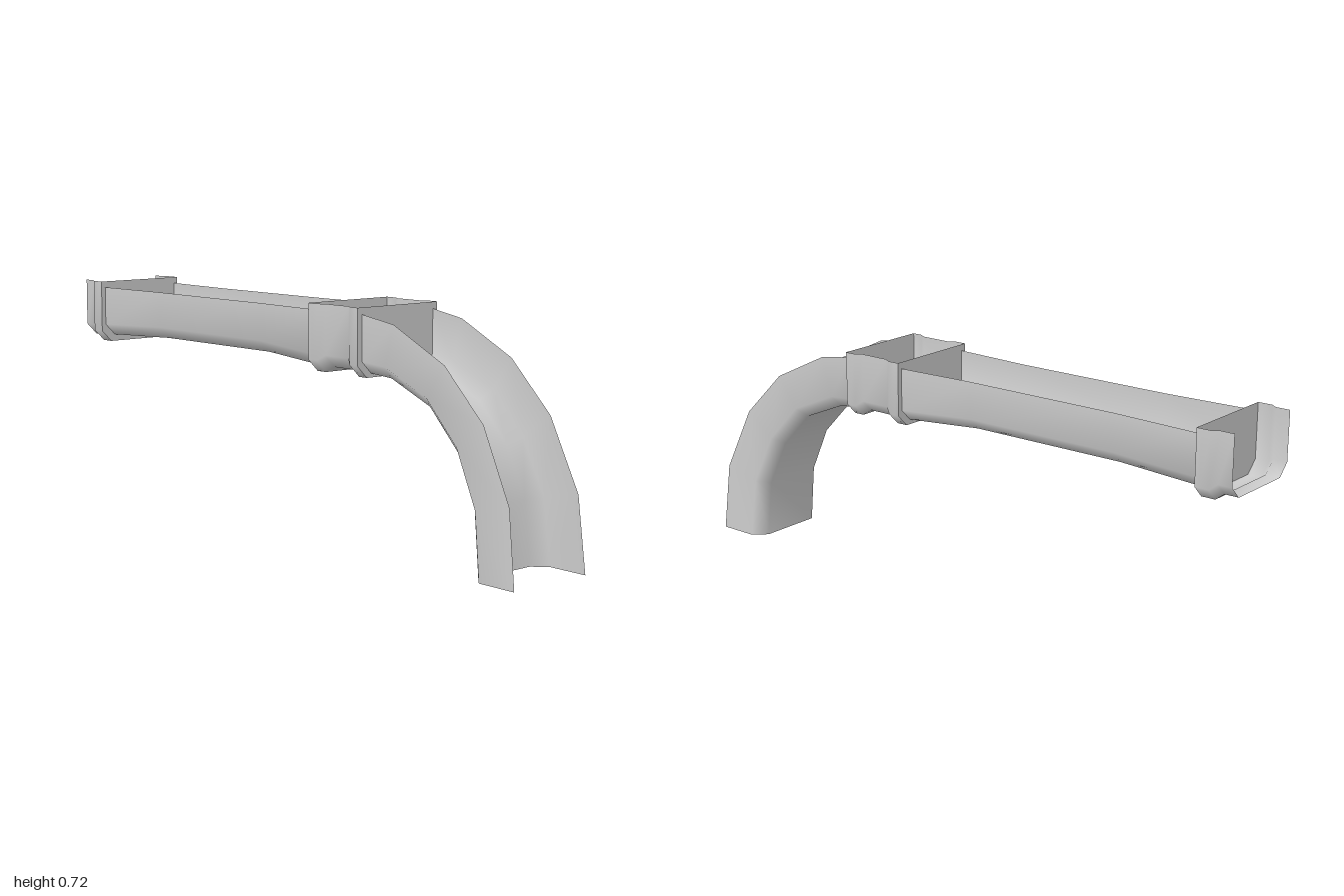
import * as THREE from 'three';

const material = new THREE.MeshStandardMaterial({ color: 0xcccccc, side: THREE.DoubleSide });

// One open U section: [floorX, floorY, rimX, rimY, halfWidth, chamfer]
function section([fx, fy, rx, ry, w, c]) {
  const t = c / Math.hypot(rx - fx, ry - fy);
  const kx = fx + (rx - fx) * t, ky = fy + (ry - fy) * t;
  return [
    [rx, ry, w], [kx, ky, w], [fx, fy, w - c],
    [fx, fy, c - w], [kx, ky, -w], [rx, ry, -w],
  ];
}

// Skin a row of U sections into one smooth trough
function trough(name, stations) {
  const rows = stations.map(section);
  const n = rows[0].length, index = [];
  for (let i = 0; i < rows.length - 1; i++) {
    for (let j = 0; j < n - 1; j++) {
      const a = i * n + j, b = a + n;
      index.push(a, a + 1, b, b, a + 1, b + 1);
    }
  }
  const geo = new THREE.BufferGeometry();
  geo.setAttribute('position', new THREE.Float32BufferAttribute(rows.flat(2), 3));
  geo.setIndex(index);
  geo.computeVertexNormals();
  const mesh = new THREE.Mesh(geo, material);
  mesh.name = name;
  return mesh;
}

// Flat plate filling a U section at x
function plate(name, x, floor, rim, w, c) {
  const outline = section([x, floor, x, rim, w, c]).map(([, y, z]) => new THREE.Vector2(-z, y));
  const geo = new THREE.ShapeGeometry(new THREE.Shape(outline));
  geo.rotateY(Math.PI / 2);
  geo.translate(x, 0, 0);
  const mesh = new THREE.Mesh(geo, material);
  mesh.name = name;
  return mesh;
}

const RIM = 0.72, RING = [0.515, 0.16, 0.037], BODY = [0.531, 0.146, 0.037];
const collarStation = (x, [floor, w, c]) => [x, floor, x, RIM, w, c];

export function createModel() {
  const model = new THREE.Group();
  model.name = 'waterTrough';

  // Straight channel, slightly pinched along the middle
  const straight = [
    [-0.89, 0.537, 0.145], [-0.6, 0.547, 0.13], [-0.08, 0.547, 0.13], [0.18, 0.53, 0.144],
  ].map(([x, floor, w]) => [x, floor, x, 0.7, w, 0.037]);
  model.add(trough('straightChannel', straight));

  // Downward bend, open on its outer side
  model.add(trough('bendChannel', [
    [0.395, 0.527, 0.395, 0.7, 0.143, 0.037],
    [0.475, 0.52, 0.52, 0.68, 0.138, 0.037],
    [0.63, 0.455, 0.72, 0.583, 0.135, 0.036],
    [0.74, 0.34, 0.87, 0.435, 0.135, 0.036],
    [0.81, 0.19, 0.973, 0.225, 0.14, 0.038],
    [0.83, 0, 1, 0, 0.145, 0.04],
  ]));

  // Collars with raised rings
  model.add(trough('endCollar', [
    [-1, BODY], [-0.955, BODY], [-0.935, RING], [-0.905, RING], [-0.89, RING],
  ].map((s) => collarStation(...s))));
  model.add(trough('middleCollar', [
    [0.18, RING], [0.195, RING], [0.218, RING], [0.24, BODY],
    [0.34, BODY], [0.362, RING], [0.385, RING], [0.395, RING],
  ].map((s) => collarStation(...s))));

  // Plates closing the ringed ends of the collars
  [['endPlate', -0.89], ['middlePlateLeft', 0.18], ['middlePlateRight', 0.395]]
    .forEach(([name, x]) => model.add(plate(name, x, RING[0], RIM, RING[1], RING[2])));

  return model;
}
